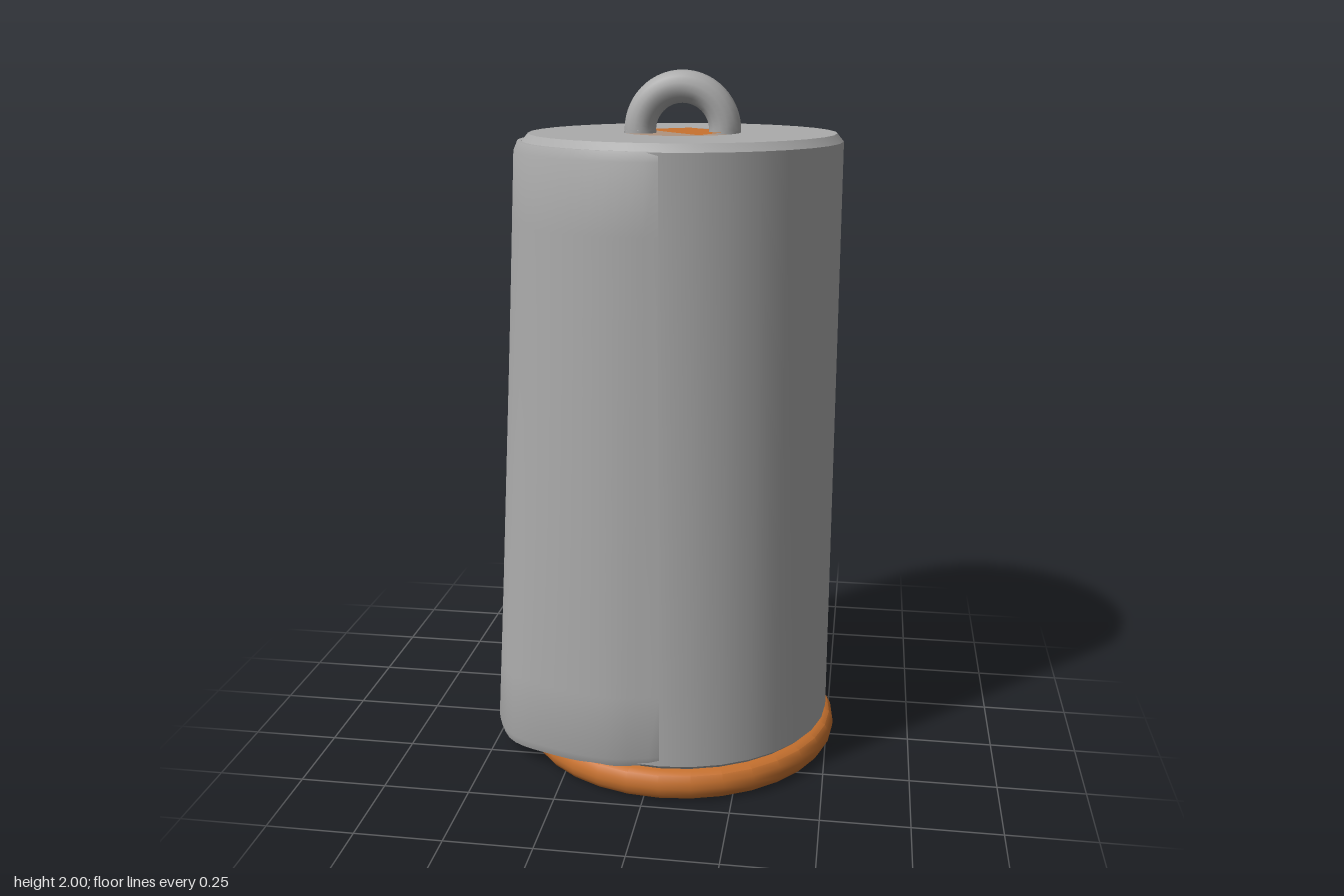
import * as THREE from 'three';
import { toCreasedNormals } from 'three/addons/utils/BufferGeometryUtils.js';

const CX = 0.045; // axis of the roll

function flat(name, hex, side = THREE.FrontSide) {
  const m = new THREE.MeshStandardMaterial({ color: hex, side });
  m.name = name;
  return m;
}

function lathe(points, segments) {
  const pts = points.map(([r, y]) => new THREE.Vector2(r, y));
  return toCreasedNormals(new THREE.LatheGeometry(pts, segments), 0.6);
}

// Loose sheet: ruled between a hugging arc at the top and a flared curve at the bottom
function sheetGeometry() {
  const bottom = new THREE.CatmullRomCurve3([
    [0, 0.455], [-0.145, 0.44], [-0.345, 0.36], [-0.495, 0.26],
    [-0.565, 0.05], [-0.545, -0.1], [-0.395, -0.28],
  ].map(([x, z]) => new THREE.Vector3(x, 0, z)));
  const columns = 28;
  const steps = 8;

  // closed cross-section of the sheet: [inward offset, height fraction]
  const section = [[-0.01, 0], [0, 0.015]];
  for (let i = 1; i < steps; i++) section.push([0, i / steps]);
  section.push([0, 0.985], [-0.01, 1], [-0.022, 1]);
  for (let i = steps - 1; i >= 0; i--) section.push([-0.022, i / steps]);
  const n = section.length;

  const pos = [];
  const index = [];
  for (let c = 0; c <= columns; c++) {
    const u = c / columns;
    const low = bottom.getPoint(u);
    const angle = THREE.MathUtils.degToRad(143 * u);
    const radius = 0.456 + 0.016 * Math.sin(Math.PI * u);
    const high = new THREE.Vector3(-radius * Math.sin(angle), 0, radius * Math.cos(angle));
    low.y = 0.105 - 0.06 * Math.sin(Math.PI * Math.min(u * 0.85, 1));
    high.y = 1.81;
    for (const [offset, s] of section) {
      const p = low.clone().lerp(high, s);
      const r = Math.hypot(p.x, p.z);
      const k = (Math.max(r, 0.455) + offset) / r;
      pos.push(p.x * k, p.y, p.z * k);
    }
  }
  for (let c = 0; c < columns; c++) {
    for (let i = 0; i < n; i++) {
      const a = c * n + i;
      const b = c * n + (i + 1) % n;
      index.push(a, b, a + n, b, b + n, a + n);
    }
  }
  // close the free edge
  const last = columns * n;
  for (let i = 0; i < n / 2 - 1; i++) {
    const a = last + i, b = last + i + 1;
    const d = last + n - 1 - i, e = last + n - 2 - i;
    index.push(a, b, d, b, e, d);
  }
  const g = new THREE.BufferGeometry();
  g.setAttribute('position', new THREE.Float32BufferAttribute(pos, 3));
  g.setIndex(index);
  return toCreasedNormals(g, 0.7);
}

export function createModel() {
  const model = new THREE.Group();
  model.name = 'paperRollHolder';
  const grey = flat('grey', 0xababab, THREE.DoubleSide);
  const wood = flat('orange wood', 0xc8722f);
  const card = flat('pale cardboard', 0xb09480);

  const add = (name, geometry, material, y = 0) => {
    const mesh = new THREE.Mesh(geometry, material);
    mesh.name = name;
    mesh.position.set(CX, y, 0);
    model.add(mesh);
    return mesh;
  };

  // Round wooden foot with a softened rim
  add('base', lathe([
    [0, 0], [0.445, 0], [0.462, 0.008], [0.472, 0.024], [0.475, 0.042],
    [0.472, 0.06], [0.462, 0.077], [0.445, 0.085], [0, 0.085],
  ], 32), wood);

  // Wound roll with a bevelled top edge and a central hole
  add('roll', lathe([
    [0.165, 0.086], [0.435, 0.086], [0.45, 0.1], [0.45, 1.808],
    [0.432, 1.83], [0.165, 1.83], [0.165, 1.8],
  ], 32), grey);

  // Loose end of the sheet
  add('looseSheet', sheetGeometry(), grey);

  // Core inside the hole
  const core = new THREE.CircleGeometry(0.17, 24).rotateX(-Math.PI / 2);
  add('core', core, card, 1.827);

  // Wooden facets of the post showing in the core
  const facets = new THREE.Shape([
    [0.0, 0.163], [0.12, 0.04], [0.115, -0.045], [0.065, -0.155],
    [-0.03, -0.04], [-0.125, 0.08],
  ].map(([x, y]) => new THREE.Vector2(x, y)));
  add('postTop', new THREE.ShapeGeometry(facets).rotateX(-Math.PI / 2), wood, 1.832);

  // Ring handle: upper half of a torus
  add('handle', new THREE.TorusGeometry(0.12, 0.045, 14, 28, Math.PI), grey, 1.835);
  for (const side of [-1, 1]) {
    const foot = add('handleFoot', new THREE.CylinderGeometry(0.045, 0.045, 0.03, 14), grey, 1.82);
    foot.position.x += side * 0.12;
  }
  return model;
}
